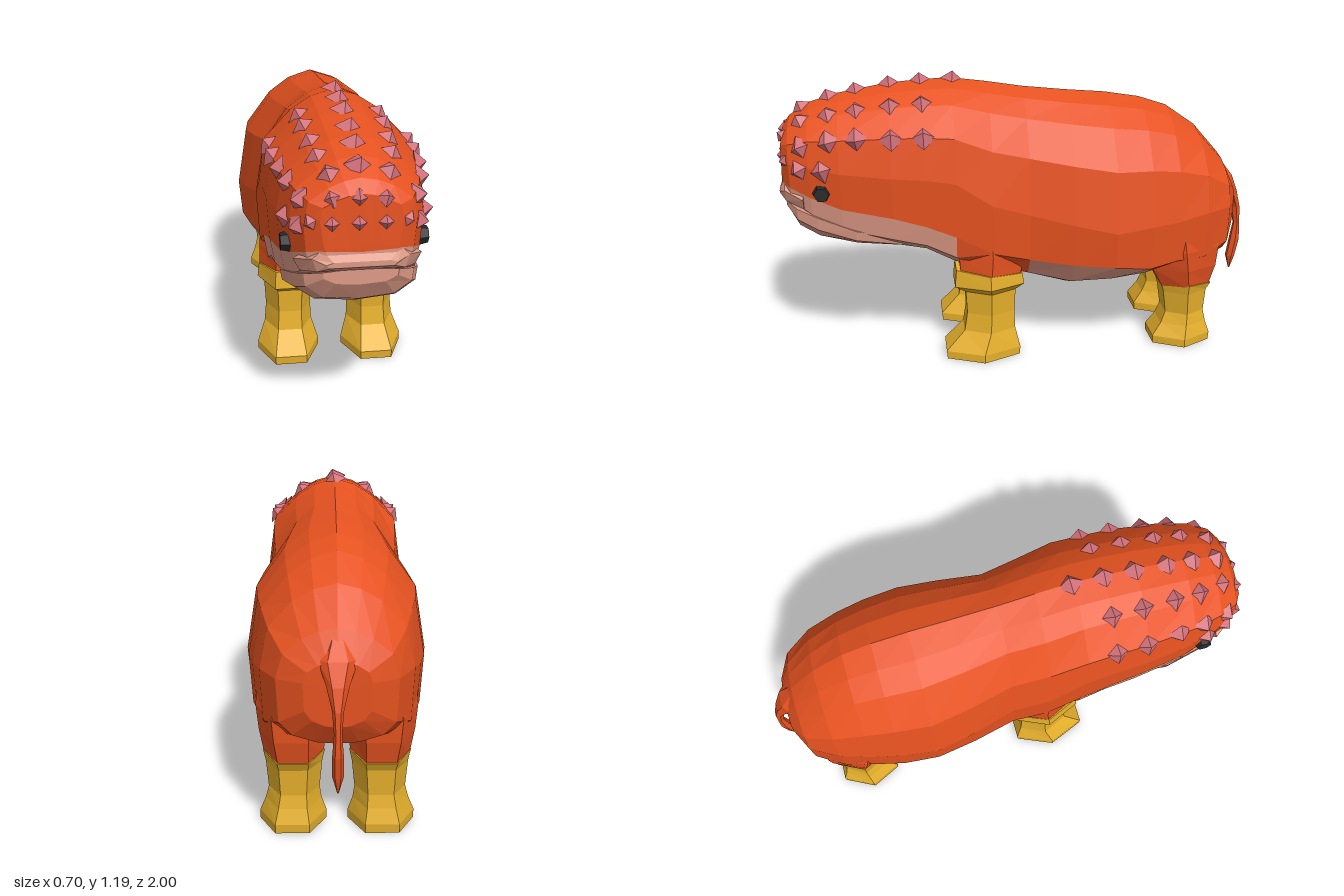
import * as THREE from 'three';

const mat = (name, color) => {
  const m = new THREE.MeshStandardMaterial({ color });
  m.name = name;
  return m;
};

// Faceted loft through rings of points; pick(s, i) chooses the material index of each quad
function loft(rings, materials, name, pick = () => 0) {
  const buckets = materials.map(() => []);
  const n = rings[0].length;
  const tri = (k, ...pts) => pts.forEach(p => buckets[k].push(p.x, p.y, p.z));
  const middle = ring => ring.reduce((c, p) => c.add(p), new THREE.Vector3()).divideScalar(n);
  const last = rings.length - 1;
  const first = middle(rings[0]), end = middle(rings[last]);
  for (let i = 0; i < n; i++) {
    const j = (i + 1) % n;
    for (let s = 0; s < last; s++) {
      const k = pick(s, i);
      const a = rings[s][i], b = rings[s][j], c = rings[s + 1][i], d = rings[s + 1][j];
      tri(k, a, b, c);
      tri(k, b, d, c);
    }
    tri(pick(0, i), first, rings[0][j], rings[0][i]);
    tri(pick(last, i), end, rings[last][i], rings[last][j]);
  }
  const geo = new THREE.BufferGeometry();
  geo.setAttribute('position', new THREE.Float32BufferAttribute(buckets.flat(), 3));
  let start = 0;
  buckets.forEach((b, k) => {
    geo.addGroup(start, b.length / 3, k);
    start += b.length / 3;
  });
  geo.computeVertexNormals();
  const mesh = new THREE.Mesh(geo, materials.length > 1 ? materials : materials[0]);
  mesh.name = name;
  return mesh;
}

// Mirror a half profile (top centre to bottom centre) into a closed ring at depth z
function mirrorRing(half, z) {
  const right = half.map(([x, y]) => new THREE.Vector3(x, y, z));
  const left = half.slice(1, -1).reverse().map(([x, y]) => new THREE.Vector3(-x, y, z));
  return [...right, ...left];
}

// Six-sided horizontal ring: height, centre x and z, half sizes x and z, forward tilt
function hexRing([y, cx, cz, rx, rz, tilt = 0], side = 1) {
  return Array.from({ length: 6 }, (_, i) => {
    const a = i * Math.PI / 3, s = Math.sin(a) / 0.866;
    return new THREE.Vector3(cx * side + Math.cos(a) * rx, y + s * tilt, cz + s * rz);
  });
}

export function createModel() {
  const model = new THREE.Group();
  model.name = 'spikyBeast';
  const orange = mat('orangeHide', 0xe65220);
  const pink = mat('pinkSkin', 0xdf9a86);
  const yellow = mat('yellowLegs', 0xe6b02c);
  const mauve = mat('mauveSpikes', 0xd3707a);
  const black = mat('blackEyes', 0x2b2b2f);
  const lerp = THREE.MathUtils.lerp;

  // Head and torso: z, top, widest height, hide edge, bottom, half width
  const sections = [
    [0.986, 0.802, 0.798, 0.79, 0.74, 0.125],
    [0.98, 0.985, 0.9, 0.79, 0.73, 0.14],
    [0.95, 1.03, 0.88, 0.778, 0.68, 0.19],
    [0.87, 1.08, 0.87, 0.745, 0.62, 0.23],
    [0.75, 1.115, 0.85, 0.7, 0.55, 0.262],
    [0.55, 1.15, 0.83, 0.66, 0.5, 0.285],
    [0.42, 1.16, 0.82, 0.62, 0.475, 0.29],
    [0.3, 1.165, 0.8, 0.57, 0.41, 0.295],
    [0.15, 1.145, 0.7, 0.49, 0.36, 0.3],
    [0, 1.12, 0.65, 0.45, 0.31, 0.285],
    [-0.18, 1.1, 0.61, 0.43, 0.26, 0.325],
    [-0.35, 1.085, 0.575, 0.42, 0.285, 0.352],
    [-0.5, 1.06, 0.59, 0.4, 0.32, 0.335],
    [-0.62, 1.02, 0.6, 0.42, 0.36, 0.312],
    [-0.75, 0.93, 0.62, 0.42, 0.35, 0.278],
    [-0.865, 0.8, 0.62, 0.46, 0.38, 0.215],
    [-0.915, 0.7, 0.62, 0.52, 0.46, 0.12],
  ];
  const bodyRings = sections.map(([z, top, wide, seam, bot, w]) => mirrorRing([
    [0, top],
    [0.3 * w, lerp(top, wide, 0.07)],
    [0.57 * w, lerp(top, wide, 0.21)],
    [(z > 0.2 ? 0.92 : 0.885) * w, lerp(top, wide, 0.51)],
    [w, wide],
    [0.96 * w, seam],
    [(z > 0.2 ? 0.9 : 0.74) * w, lerp(seam, bot, 0.6)],
    [(z > 0.2 ? 0.6 : 0.35) * w, lerp(seam, bot, 0.93)],
    [0, bot],
  ], z));
  const bodyColour = (s, i) => {
    const row = i < 8 ? i : 15 - i;
    const edge = s < 7 || (s >= 9 && s < 12);
    return (row >= 6 && s < 13) || (row === 5 && edge) ? 1 : 0;
  };
  const body = loft(bodyRings, [orange, pink], 'body', bodyColour);
  model.add(body);

  // Upper lip sloping forward under the snout: z, top, bottom, half width
  const lip = [[1, 0.755, 0.735, 0.12], [0.975, 0.793, 0.715, 0.165], [0.9, 0.765, 0.69, 0.222]];
  model.add(loft(lip.map(([z, top, bot, w]) => mirrorRing([
    [0, top], [0.8 * w, top], [w, lerp(top, bot, 0.4)], [0.9 * w, bot], [0, bot],
  ], z)), [pink], 'upperLip'));

  // Lower jaw, a ledge below the mouth: z, mouth height, bottom, half width
  const jaw = [
    [0.975, 0.71, 0.66, 0.13],
    [0.93, 0.69, 0.585, 0.19],
    [0.85, 0.66, 0.54, 0.222],
    [0.7, 0.605, 0.51, 0.25],
    [0.5, 0.55, 0.485, 0.22],
  ];
  model.add(loft(jaw.map(([z, y, bot, w]) => mirrorRing([
    [0, y + 0.01], [w, y], [0.97 * w, lerp(y, bot, 0.45)], [0.65 * w, lerp(y, bot, 0.88)], [0, bot],
  ], z)), [pink], 'lowerJaw'));

  // Legs with orange upper parts: height, centre x, centre z, half sizes, tilt
  const legParts = [
    ['shoulder', orange, [
      [0.75, 0.15, 0.15, 0.12, 0.12], [0.6, 0.165, 0.155, 0.115, 0.13],
      [0.47, 0.172, 0.155, 0.12, 0.135], [0.38, 0.175, 0.16, 0.118, 0.125, 0.012]]],
    ['frontLeg', yellow, [
      [0.39, 0.175, 0.165, 0.121, 0.138, 0.014], [0.33, 0.175, 0.165, 0.128, 0.145], [0.3, 0.175, 0.16, 0.1, 0.105],
      [0.2, 0.175, 0.16, 0.095, 0.1], [0.12, 0.177, 0.165, 0.1, 0.108],
      [0.035, 0.18, 0.195, 0.13, 0.158], [0, 0.18, 0.195, 0.13, 0.155]]],
    ['thigh', orange, [
      [0.78, 0.14, -0.62, 0.12, 0.1], [0.6, 0.16, -0.64, 0.128, 0.14], [0.45, 0.168, -0.66, 0.133, 0.16],
      [0.36, 0.165, -0.675, 0.125, 0.14], [0.27, 0.16, -0.69, 0.11, 0.105]]],
    ['hindLeg', yellow, [
      [0.285, 0.16, -0.69, 0.115, 0.112, 0.012], [0.24, 0.16, -0.69, 0.105, 0.095], [0.14, 0.16, -0.695, 0.095, 0.085],
      [0.09, 0.163, -0.69, 0.105, 0.1], [0.035, 0.165, -0.68, 0.125, 0.128], [0, 0.165, -0.68, 0.125, 0.125]]],
  ];
  for (const side of [1, -1]) {
    const tag = side > 0 ? 'Left' : 'Right';
    for (const [name, material, rings] of legParts)
      model.add(loft(rings.map(r => hexRing(r, side)), [material], name + tag));

    // Eye
    const eye = new THREE.Mesh(new THREE.CylinderGeometry(0.03, 0.039, 0.04, 6).toNonIndexed(), black);
    eye.geometry.computeVertexNormals();
    eye.name = 'eye' + tag;
    eye.rotation.z = -side * Math.PI / 2;
    eye.position.set(side * 0.238, 0.767, 0.825);
    model.add(eye);
  }

  // Tail with a broad root and a tuft at its tip
  model.add(loft([
    [0.78, 0, -0.84, 0.03, 0.03], [0.7, 0, -0.9, 0.07, 0.03], [0.62, 0, -0.94, 0.04, 0.025],
    [0.54, 0, -0.97, 0.02, 0.018], [0.46, 0, -0.982, 0.014, 0.013], [0.38, 0, -0.978, 0.02, 0.02],
    [0.3, 0, -0.965, 0.02, 0.018], [0.24, 0, -0.965, 0.003, 0.003],
  ].map(r => hexRing(r)), [orange], 'tail'));

  // Spikes: broad four-sided cones set on the hide where a ray meets it
  const spikeGeo = new THREE.ConeGeometry(0.052, 0.042, 4).toNonIndexed();
  spikeGeo.computeVertexNormals();
  const spikes = new THREE.Group();
  spikes.name = 'spikes';
  model.add(spikes);
  const up = new THREE.Vector3(0, 1, 0);
  const addSpike = (from, dir, size) => {
    const hit = new THREE.Raycaster(from, dir.normalize()).intersectObject(body)[0];
    if (!hit) return;
    const spike = new THREE.Mesh(spikeGeo, mauve);
    spike.name = 'spike';
    spike.scale.setScalar(size);
    spike.quaternion.setFromUnitVectors(up, hit.face.normal);
    spike.position.copy(hit.point).addScaledVector(hit.face.normal, 0.011 * size);
    spikes.add(spike);
  };
  const addCrown = (z, degrees) => {
    const a = THREE.MathUtils.degToRad(degrees);
    const dir = new THREE.Vector3(-Math.sin(a), -Math.cos(a), 0);
    addSpike(new THREE.Vector3(0.001, 0.82, z).addScaledVector(dir, -1), dir, 1);
  };
  addCrown(0.29, 0);
  for (const z of [0.42, 0.545, 0.68, 0.79]) [-57, -28, 0, 28, 57].forEach(a => addCrown(z, a));
  for (const z of [0.82, 0.91]) [-80, 80].forEach(a => addCrown(z, a));
  [-58, -26, 0, 26, 58].forEach(a => addCrown(0.9, a));
  for (const [y, xs] of [[0.97, [-0.1, -0.01, 0.08]], [0.885, [-0.17, -0.1, -0.01, 0.08, 0.16]]])
    xs.forEach(x => addSpike(new THREE.Vector3(x, y, 2), new THREE.Vector3(0, 0, -1), 0.65));

  return model;
}
